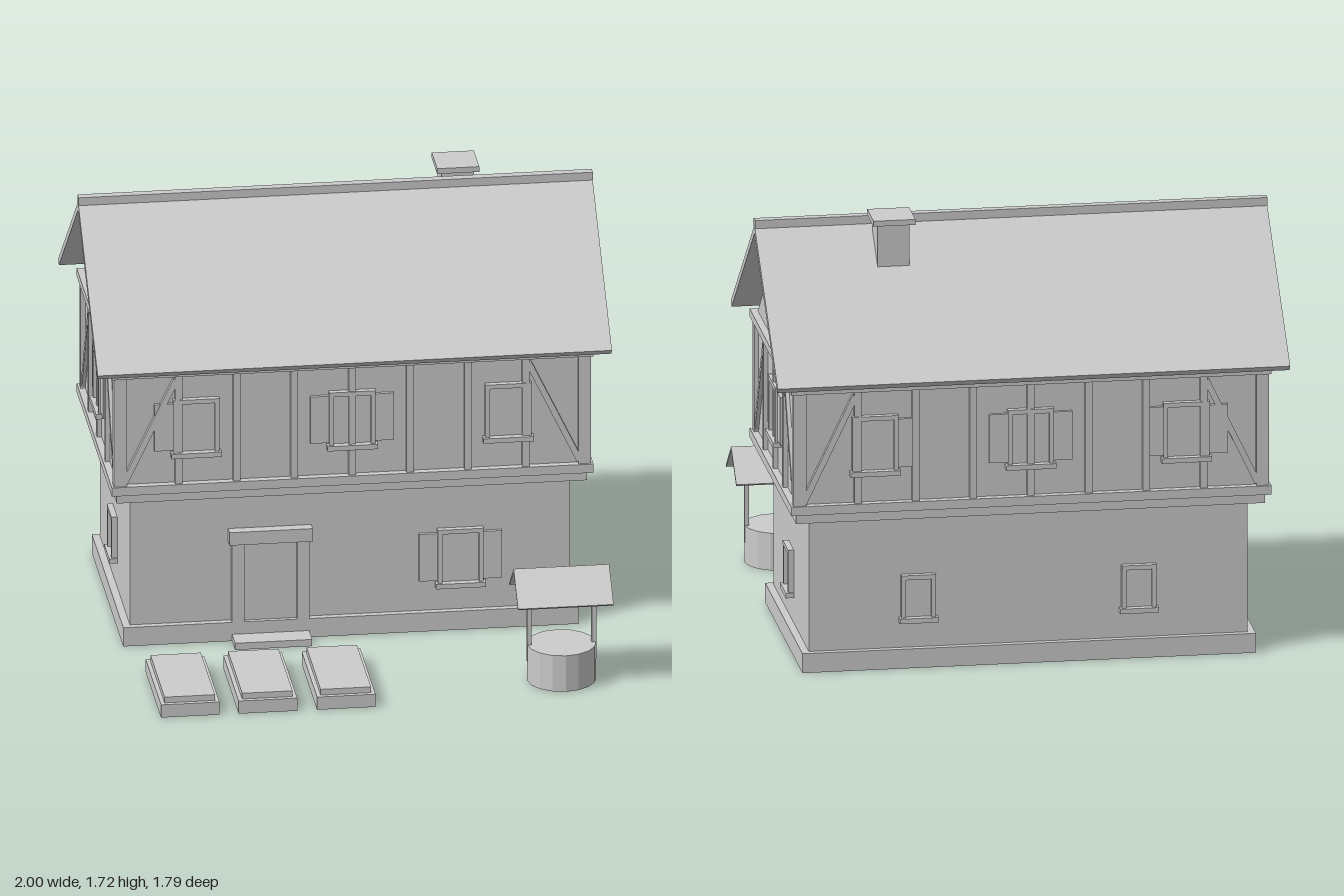
import * as THREE from 'three';

export function createModel() {
  const model = new THREE.Group();
  model.name = 'timberHouse';
  const stone = new THREE.MeshStandardMaterial({ color: 0xcccccc });
  stone.name = 'plain grey';

  const add = (parent, name, geo) => {
    const m = new THREE.Mesh(geo, stone);
    m.name = name;
    parent.add(m);
    return m;
  };
  // Box given by its extents
  const box = (parent, name, x0, x1, y0, y1, z0, z1) => {
    const m = add(parent, name, new THREE.BoxGeometry(x1 - x0, y1 - y0, z1 - z0));
    m.position.set((x0 + x1) / 2, (y0 + y1) / 2, (z0 + z1) / 2);
    return m;
  };
  const group = (name, parent = model) => {
    const g = new THREE.Group();
    g.name = name;
    parent.add(g);
    return g;
  };

  const house = group('house');
  house.position.z = -0.302;

  // Ground floor and jetty
  box(house, 'plinth', -0.885, 0.885, 0, 0.078, -0.472, 0.472);
  box(house, 'groundFloor', -0.856, 0.856, 0.07, 0.615, -0.446, 0.446);
  box(house, 'jetty', -0.915, 0.915, 0.613, 0.652, -0.506, 0.506);
  box(house, 'upperFloor', -0.91, 0.91, 0.65, 1.17, -0.498, 0.498);

  // Timber frame on all four faces of the upper floor
  const faces = [
    { name: 'front', angle: 0, half: 0.9, dist: 0.5, bays: 8, brace: 0.2 },
    { name: 'back', angle: Math.PI, half: 0.9, dist: 0.5, bays: 8, brace: 0.2 },
    { name: 'left', angle: Math.PI / 2, half: 0.5, dist: 0.91, bays: 4, brace: 0.22 },
    { name: 'right', angle: -Math.PI / 2, half: 0.5, dist: 0.91, bays: 4, brace: 0.22 },
  ];
  for (const f of faces) {
    const g = group(f.name + 'Timbers', house);
    g.rotation.y = f.angle;
    const end = f.half + 0.028;
    box(g, 'sillBeam', -end, end, 0.652, 0.688, f.dist - 0.03, f.dist + 0.027);
    box(g, 'topBeam', -end, end, 1.138, 1.17, f.dist - 0.03, f.dist + 0.027);
    for (let i = 0; i <= f.bays; i++) {
      const corner = i === 0 || i === f.bays;
      const x = -f.half + (2 * f.half * i) / f.bays + (i === 0 ? 0.003 : 0);
      const w = corner ? 0.02 : 0.014;
      box(g, 'post', x - w, x + w, 0.68, 1.14, f.dist - 0.02, f.dist + 0.018);
    }
    for (const s of [-1, 1]) {
      const dx = f.brace, dy = 0.42;
      const b = add(g, 'brace', new THREE.BoxGeometry(0.024, Math.hypot(dx, dy), 0.03));
      b.position.set(s * (f.half - 0.015 - dx / 2), 0.91, f.dist);
      b.rotation.z = s * Math.atan2(dx, dy);
    }
  }

  // Framed window facing local +z; shutters are listed by side
  const addWindow = (x, y, z, angle, w, h, shutters = []) => {
    const g = group('window', house);
    g.position.set(x, y, z);
    g.rotation.y = angle;
    const t = 0.018, a = w / 2, b = h / 2;
    box(g, 'pane', -a + t, a - t, -b, b - t, -0.01, 0.006);
    for (const s of [-1, 1]) {
      const c = s * (a - t / 2);
      box(g, 'jamb', c - t / 2, c + t / 2, -b, b, -0.01, 0.022);
    }
    box(g, 'head', -a, a, b - t, b, -0.01, 0.023);
    box(g, 'sill', -a - 0.008, a + 0.008, -b - 0.006, -b + 0.014, -0.01, 0.033);
    for (const s of shutters) {
      const c = s * (a + 0.036);
      box(g, 'shutter', c - 0.036, c + 0.036, -b + 0.022, b - 0.017, -0.005, 0.014);
    }
  };
  const both = [-1, 1], PI = Math.PI;
  // Upper windows
  addWindow(-0.607, 0.92, 0.498, 0, 0.18, 0.234, [-1]);
  addWindow(0, 0.92, 0.498, 0, 0.18, 0.234, both);
  addWindow(0.607, 0.92, 0.498, 0, 0.18, 0.234);
  addWindow(0.607, 0.92, -0.498, PI, 0.18, 0.234, [1]);
  addWindow(0, 0.92, -0.498, PI, 0.18, 0.234, both);
  addWindow(-0.607, 0.92, -0.498, PI, 0.18, 0.234, both);
  for (const s of both) addWindow(s * 0.91, 0.92, 0, (s * PI) / 2, 0.18, 0.234, both);
  // Ground floor windows
  addWindow(0.428, 0.3, 0.446, 0, 0.178, 0.236, both);
  for (const s of both) {
    addWindow(s * 0.43, 0.28, -0.446, PI, 0.135, 0.185);
    addWindow(s * 0.856, 0.28, 0, (s * PI) / 2, 0.135, 0.185);
  }

  // Door
  const door = group('doorway', house);
  door.position.x = -0.312;
  box(door, 'doorLeaf', -0.105, 0.105, 0.03, 0.41, 0.44, 0.455);
  for (const s of both) box(door, 'doorPost', s * 0.127 - 0.024, s * 0.127 + 0.024, 0.03, 0.41, 0.44, 0.476);
  box(door, 'lintel', -0.162, 0.162, 0.406, 0.46, 0.44, 0.488);
  box(door, 'doorstep', -0.15, 0.15, 0, 0.028, 0.44, 0.562);

  // Attic gable prism
  const gable = new THREE.Shape([[-0.498, 1.168], [0.498, 1.168], [0, 1.588]].map(p => new THREE.Vector2(...p)));
  const attic = add(house, 'attic', new THREE.ExtrudeGeometry(gable, { depth: 1.82, bevelEnabled: false }));
  attic.rotation.y = PI / 2;
  attic.position.x = -0.91;

  // Pitched roof slabs: cross-section pulled along x
  const addRoof = (parent, name, apex, eave, run, t, half) => {
    const ang = Math.atan2(apex - eave, run);
    const ox = t * Math.sin(ang), oy = t * Math.cos(ang);
    for (const s of both) {
      const pts = [[0, apex], [s * run, eave], [s * (run - ox), eave - oy], [0, apex - t / Math.cos(ang)]];
      const shape = new THREE.Shape(pts.map(p => new THREE.Vector2(...p)));
      const slab = add(parent, name, new THREE.ExtrudeGeometry(shape, { depth: 2 * half, bevelEnabled: false }));
      slab.rotation.y = PI / 2;
      slab.position.x = -half;
    }
  };
  addRoof(house, 'roofSlab', 1.67, 1.187, 0.593, 0.027, 1);
  box(house, 'ridgeCap', -1, 1, 1.66, 1.693, -0.017, 0.017);

  // Chimney
  box(house, 'chimney', 0.42, 0.545, 1.38, 1.702, -0.17, -0.045);
  box(house, 'chimneyCap', 0.4, 0.564, 1.7, 1.722, -0.189, -0.026);

  // Well
  const well = group('well');
  well.position.set(0.75, 0, 0.704);
  const drum = add(well, 'wellDrum', new THREE.CylinderGeometry(0.134, 0.134, 0.15, 16).toNonIndexed());
  drum.geometry.computeVertexNormals();
  drum.position.y = 0.075;
  for (const s of both) box(well, 'wellPost', s * 0.126 - 0.009, s * 0.126 + 0.009, 0.08, 0.348, -0.008, 0.008);
  box(well, 'crossbar', -0.13, 0.13, 0.325, 0.345, -0.007, 0.007);
  addRoof(well, 'wellRoof', 0.468, 0.355, 0.134, 0.009, 0.186);

  // Three raised beds
  for (const x of [-0.718, -0.416, -0.111]) {
    const bed = group('raisedBed');
    bed.position.set(x, 0, 0.664);
    box(bed, 'bedBase', -0.114, 0.114, 0, 0.053, -0.23, 0.23);
    box(bed, 'bedTop', -0.098, 0.098, 0.05, 0.077, -0.212, 0.212);
  }
  return model;
}
